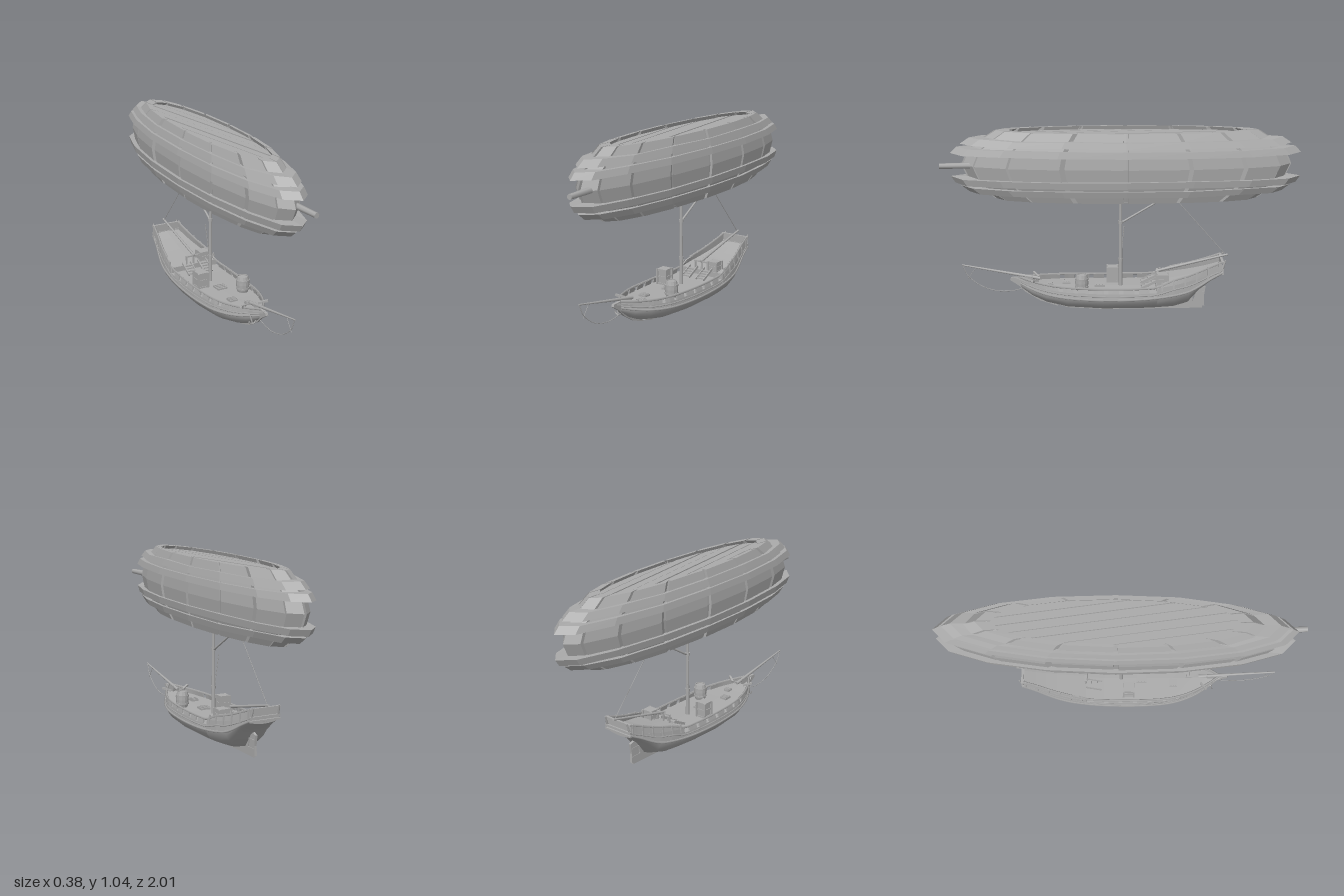
import * as THREE from 'three';

const grey = new THREE.MeshStandardMaterial({ color: 0xaaaaaa, side: THREE.DoubleSide });
grey.name = 'weathered grey';
const V = (x, y, z) => new THREE.Vector3(x, y, z);

export function createModel() {
  const root = new THREE.Group();
  const balloon = new THREE.Group(), ship = new THREE.Group();
  balloon.name = 'barrelBalloon';
  ship.name = 'ship';
  root.add(balloon, ship);

  let seed = 7;
  const rand = () => (seed = (seed * 16807) % 2147483647) / 2147483647 - 0.5;

  // ---- helpers ----
  const add = (parent, name, geo) => {
    const m = new THREE.Mesh(geo, grey);
    m.name = name;
    parent.add(m);
    return m;
  };
  // Skin a grid of cross-sections, optionally closing both ends
  const loft = (rows, { flat = true, caps = false } = {}) => {
    if (caps) {
      const mid = (r) => {
        const c = r.reduce((s, p) => s.add(p), V(0, 0, 0)).divideScalar(r.length);
        return r.map(() => c);
      };
      const a = rows[0], b = rows[rows.length - 1];
      rows = [mid(a), a, ...rows, b, mid(b)];
    }
    const n = rows[0].length, index = [];
    for (let i = 0; i < rows.length - 1; i++)
      for (let j = 0; j < n - 1; j++) {
        const a = i * n + j, b = a + n;
        index.push(a, b, b + 1, a, b + 1, a + 1);
      }
    let g = new THREE.BufferGeometry().setFromPoints(rows.flat());
    g.setIndex(index);
    if (flat) g = g.toNonIndexed();
    g.computeVertexNormals();
    return g;
  };
  const box = (parent, name, w, h, d, x, y, z) => {
    const m = add(parent, name, new THREE.BoxGeometry(w, h, d));
    m.position.set(x, y, z);
    return m;
  };
  const beam = (parent, name, a, b, w, h) => {
    const c = a.clone().add(b).multiplyScalar(0.5);
    const m = box(parent, name, w, h, a.distanceTo(b), c.x, c.y, c.z);
    m.lookAt(b);
    return m;
  };
  const rod = (parent, name, a, b, ra, rb = ra, sides = 8) => {
    const d = b.clone().sub(a);
    const m = add(parent, name, new THREE.CylinderGeometry(rb, ra, d.length(), sides));
    m.position.copy(a).addScaledVector(d, 0.5);
    m.quaternion.setFromUnitVectors(V(0, 1, 0), d.normalize());
    return m;
  };
  const tube = (parent, name, pts, r, sides = 5, seg = 24) =>
    add(parent, name, new THREE.TubeGeometry(new THREE.CatmullRomCurve3(pts), seg, r, sides));
  // Plate drawn as (z, y) points, centred on x = 0
  const plate = (name, pts, t) => {
    const shape = new THREE.Shape(pts.map(([z, y]) => new THREE.Vector2(-z, y)));
    const g = new THREE.ExtrudeGeometry(shape, { depth: t, bevelEnabled: false });
    g.translate(0, 0, -t / 2).rotateY(Math.PI / 2);
    return add(ship, name, g);
  };

  // ---- stretched barrel: staves, hoops and heads ----
  const ZS = 5.1, ZC = -0.03, N = 16, STEP = (Math.PI * 2) / N;
  const polar = (r, a, y) => V(r * Math.sin(a), y, r * Math.cos(a) * ZS + ZC);
  const staveLine = [[0.143, 0.656], [0.156, 0.7], [0.172, 0.76], [0.18, 0.85], [0.172, 0.94], [0.156, 1.0], [0.143, 1.043]];
  for (let i = 0; i < N; i++) {
    const off = rand() * 0.005, gap = 0.012 + Math.abs(rand()) * 0.03;
    const outer = staveLine.map(([r, y]) => [r + off, y]);
    const inner = staveLine.map(([r, y]) => [r - 0.016, y]).reverse();
    const loop = [...outer, ...inner, outer[0]];
    const rows = [i * STEP + gap, (i + 1) * STEP - gap].map((a) => loop.map(([r, y]) => polar(r, a, y)));
    add(balloon, 'stave', loft(rows, { caps: true }));
  }
  const liner = [];
  for (let i = 0; i <= N; i++) liner.push(staveLine.map(([r, y]) => polar(r - 0.012, i * STEP, y)));
  add(balloon, 'innerLining', loft(liner));
  // [y low, y high, radius low, radius high]
  for (const [y0, y1, r0, r1] of [[0.695, 0.73, 0.171, 0.18], [0.745, 0.782, 0.186, 0.191],
    [0.912, 0.948, 0.191, 0.184], [0.965, 1.0, 0.18, 0.17]]) {
    const rows = [];
    for (let i = 0; i < N; i++) {
      const dy = rand() * 0.008;
      rows.push([[r0, y0], [r1, y1], [r1 - 0.022, y1], [r0 - 0.022, y0], [r0, y0]].map(([r, y]) => polar(r, i * STEP, y + dy)));
    }
    rows.push(rows[0]);
    add(balloon, 'hoop', loft(rows));
  }
  // Diagonal head planks cut to the rim
  const R = 0.134, TILT = 0.64, PLANKS = 7;
  for (const y of [0.672, 1.018]) {
    for (let i = 0; i < PLANKS; i++) {
      const w = (2 * R) / PLANKS, d0 = -R + i * w + 0.002, d1 = d0 + w - 0.004, lift = rand() * 0.005;
      const end = (sign) => [d0, (d0 + d1) / 2, d1].map((d) => [d, sign * Math.sqrt(Math.max(0, R * R - d * d))]);
      const outline = [...end(1), ...end(-1).reverse()];
      outline.push(outline[0]);
      const rows = [y - 0.007 + lift, y + 0.007 + lift].map((h) => outline.map(([u, v]) =>
        V(u * Math.cos(TILT) + v * Math.sin(TILT), h, (v * Math.cos(TILT) - u * Math.sin(TILT)) * ZS + ZC)));
      add(balloon, 'headPlank', loft(rows, { caps: true }));
    }
    const disc = add(balloon, 'headBacking', new THREE.CylinderGeometry(R, R, 0.006, N));
    disc.scale.z = ZS;
    disc.position.set(0, y + (y < 0.8 ? 0.006 : -0.006), ZC);
  }
  rod(balloon, 'bung', V(0.03, 0.85, 0.82), V(0.042, 0.85, 1.0), 0.018, 0.015, 7);

  // ---- hull stations: z, half width, keel y, wale y, deck y, rail y ----
  const stations = [
    [0.57, 0.01, 0.135, 0.155, 0.168, 0.195], [0.5, 0.06, 0.085, 0.135, 0.158, 0.185],
    [0.42, 0.105, 0.05, 0.12, 0.15, 0.177], [0.3, 0.143, 0.025, 0.108, 0.143, 0.17],
    [0.1, 0.16, 0.015, 0.1, 0.138, 0.165], [-0.1, 0.16, 0.015, 0.103, 0.138, 0.166],
    [-0.2, 0.155, 0.017, 0.11, 0.142, 0.172], [-0.205, 0.154, 0.017, 0.11, 0.17, 0.192],
    [-0.3, 0.145, 0.022, 0.122, 0.185, 0.212], [-0.38, 0.13, 0.045, 0.138, 0.2, 0.232],
    [-0.44, 0.116, 0.125, 0.165, 0.215, 0.252], [-0.5, 0.102, 0.175, 0.2, 0.232, 0.274],
    [-0.57, 0.09, 0.215, 0.235, 0.255, 0.3]];
  const at = (z) => {
    const k = Math.max(0, Math.min(stations.length - 2, stations.findIndex((s) => s[0] < z) - 1));
    const i = z <= -0.57 ? stations.length - 2 : k, a = stations[i], b = stations[i + 1];
    const t = (z - a[0]) / (b[0] - a[0]);
    return a.map((v, j) => v + (b[j] - v) * t);
  };
  const ribs = [[0, 0], [0.3, 0.07], [0.6, 0.24], [0.82, 0.48], [0.95, 0.76], [1, 1]];
  const mirror = (half) => [...half.slice(1).reverse().map((p) => V(-p.x, p.y, p.z)), ...half];
  add(ship, 'hullBottom', loft(stations.map(([z, w, k, wl]) =>
    mirror(ribs.map(([u, v]) => V(w * u, k + (wl - k) * v, z)))), { flat: false, caps: true }));
  add(ship, 'deck', loft(stations.map(([z, w, , , d]) => [V(w * 0.97, d, z), V(0, d + 0.004, z), V(-w * 0.97, d, z)])));
  const [sz, sw, , sWale, sDeck, sRail] = stations[stations.length - 1];
  add(ship, 'transom', loft([[V(-sw, sWale, sz), V(sw, sWale, sz)], [V(-sw, sRail, sz), V(sw, sRail, sz)]]));
  for (const y of [sWale, sDeck, sRail]) box(ship, 'transomBeam', sw * 2.05, 0.01, 0.014, 0, y, sz - 0.003);

  // ---- topsides, bulwarks with ports, rails and posts ----
  const spans = [[0.57, 0.35], [-0.2, -0.57]];
  for (let z = 0.325; z > -0.18; z -= 0.085) spans.push([z, z - 0.06]);
  for (const s of [1, -1]) {
    add(ship, 'topside', loft(stations.map(([z, w, , wl, d]) => [V(s * w, wl, z), V(s * w * 0.97, d, z)])));
    for (const [a, b] of spans) {
      const rows = [];
      for (let i = 0; i <= 8; i++) {
        const z = a + ((b - a) * i) / 8, [, w, , , d, r] = at(z);
        const o0 = w * 0.97, o1 = w * 0.93;
        rows.push([[o0, d], [o1, r], [o1 * 0.94, r], [o0 * 0.94, d], [o0, d]].map(([x, y]) => V(s * x, y, z)));
      }
      add(ship, 'bulwark', loft(rows, { caps: true }));
    }
    const line = (f) => stations.filter((q) => q[0] !== -0.205).map(f);
    tube(ship, 'rail', line(([z, w, , , , r]) => V(s * w * 0.92, r, z)), 0.007, 4, 40);
    tube(ship, 'wale', line(([z, w, , wl]) => V(s * w, wl + 0.003, z)), 0.006, 4, 40);
    tube(ship, 'deckStrake', line(([z, w, , wl, d]) => V(s * w * 0.985, (wl + d) / 2 + 0.006, z)), 0.004, 4, 40);
    for (let z = -0.23; z > -0.57; z -= 0.065) {
      const [, w, , , d, r] = at(z);
      beam(ship, 'sternTimber', V(s * w * 0.99, d - 0.02, z), V(s * w * 0.94, r + 0.006, z), 0.009, 0.009);
    }
    rod(ship, 'sternPost', V(s * 0.083, 0.25, -0.57), V(s * 0.078, 0.312, -0.59), 0.007, 0.004, 6);
    beam(ship, 'cathead', V(s * 0.04, 0.18, 0.47), V(s * 0.085, 0.196, 0.5), 0.012, 0.012);
    beam(ship, 'bowBrace', V(s * 0.05, 0.16, 0.5), V(0, 0.19, 0.61), 0.007, 0.01);
  }

  // ---- keel, stem and rudder ----
  plate('keel', [[0.36, 0.03], [0.3, 0.012], [0.1, 0], [-0.47, 0.005], [-0.47, 0.018], [-0.41, 0.05], [-0.43, 0.15], [-0.38, 0.06], [-0.2, 0.03], [0.1, 0.03]], 0.014);
  plate('stem', [[0.36, 0.022], [0.46, 0.055], [0.54, 0.105], [0.58, 0.145], [0.63, 0.178], [0.625, 0.192], [0.5, 0.2], [0.52, 0.13], [0.42, 0.06]], 0.016);
  plate('rudder', [[-0.415, 0.022], [-0.482, 0.016], [-0.478, 0.07], [-0.487, 0.13], [-0.45, 0.145], [-0.435, 0.14]], 0.014);
  for (const y of [0.05, 0.1]) box(ship, 'rudderHinge', 0.02, 0.008, 0.06, 0, y, -0.445);

  // ---- mast, spars and ropes ----
  rod(ship, 'mast', V(0, 0.13, 0), V(0, 0.675, 0), 0.011, 0.008, 10);
  for (const y of [0.295, 0.515]) rod(ship, 'mastCollar', V(0, y - 0.008, 0), V(0, y + 0.008, 0), 0.0135, 0.0135, 10);
  rod(ship, 'gaff', V(0, 0.515, -0.01), V(0, 0.67, -0.27), 0.006, 0.005);
  rod(ship, 'boom', V(0, 0.225, -0.2), V(0, 0.322, -0.61), 0.008, 0.006);
  rod(ship, 'bowsprit', V(0, 0.185, 0.46), V(0, 0.267, 0.9), 0.01, 0.004);
  rod(ship, 'sternRope', V(0, 0.67, -0.29), V(0, 0.318, -0.6), 0.002, 0.002, 5);
  rod(ship, 'halyard', V(-0.022, 0.485, -0.02), V(-0.004, 0.27, 0), 0.0022, 0.0022, 5);
  tube(ship, 'bowRope', [V(0, 0.262, 0.895), V(0, 0.205, 0.87), V(0, 0.14, 0.79), V(0, 0.112, 0.7), V(0, 0.112, 0.62), V(0, 0.128, 0.55)], 0.0022);
  rod(ship, 'bobstay', V(0, 0.255, 0.82), V(0, 0.185, 0.87), 0.0015, 0.0015, 5);

  // ---- anchor ----
  rod(ship, 'anchorShank', V(-0.045, 0.15, 0.53), V(-0.035, 0.105, 0.54), 0.004);
  const fluke = add(ship, 'anchorArms', new THREE.TorusGeometry(0.02, 0.004, 5, 10, Math.PI));
  fluke.position.set(-0.035, 0.122, 0.54);
  fluke.rotation.z = Math.PI;

  // ---- deck cargo ----
  const cask = add(ship, 'cask', new THREE.LatheGeometry(
    [[0, 0], [0.029, 0], [0.036, 0.025], [0.037, 0.047], [0.036, 0.07], [0.03, 0.094], [0.026, 0.094], [0.026, 0.088], [0, 0.088]]
      .map(([r, y]) => new THREE.Vector2(r, y)), 12).toNonIndexed());
  cask.geometry.computeVertexNormals();
  cask.position.set(0.088, 0.141, 0.22);
  for (const y of [0.165, 0.21]) rod(ship, 'caskHoop', V(0.088, y - 0.005, 0.22), V(0.088, y + 0.005, 0.22), 0.0385, 0.0385, 12);
  const crate = (x, y, z, w, h) => {
    box(ship, 'crate', w - 0.008, h - 0.008, w - 0.008, x, y + h / 2, z);
    for (const e of [0.004, h / 2, h - 0.004]) box(ship, 'crateSlat', w, 0.009, w, x, y + e, z);
    for (const sx of [-1, 1]) for (const sz2 of [-1, 1])
      box(ship, 'crateCorner', 0.01, h, 0.01, x + (sx * w) / 2, y + h / 2, z + (sz2 * w) / 2);
  };
  crate(-0.085, 0.14, 0.045, 0.06, 0.09);
  crate(0.075, 0.172, -0.17 - 0.065, 0.06, 0.06);
  // Stairs to the quarterdeck
  for (const s of [1, -1]) {
    for (let i = 0; i < 4; i++) box(ship, 'stairTread', 0.05, 0.007, 0.02, s * 0.05, 0.15 + i * 0.009, -0.13 - i * 0.019);
    for (const e of [-0.026, 0.026]) beam(ship, 'stairSide', V(s * 0.05 + e, 0.145, -0.115), V(s * 0.05 + e, 0.19, -0.205), 0.005, 0.014);
  }
  // Rail across the front of the quarterdeck
  box(ship, 'quarterdeckFront', 0.29, 0.035, 0.008, 0, 0.157, -0.203);
  box(ship, 'quarterdeckRail', 0.1, 0.008, 0.01, 0, 0.222, -0.21);
  for (const x of [-0.045, 0, 0.045]) box(ship, 'quarterdeckPost', 0.008, 0.05, 0.008, x, 0.196, -0.21);
  // Hatches
  for (const [x, z, w] of [[0, 0.12, 0.06], [-0.03, 0.31, 0.045], [0.02, 0.4, 0.035]]) {
    box(ship, 'hatchFrame', w, 0.014, w, x, at(z)[4] + 0.007, z);
    for (let i = -1; i <= 1; i++) box(ship, 'hatchBar', w * 0.9, 0.006, 0.006, x, at(z)[4] + 0.016, z + i * w * 0.3);
  }
  return root;
}
